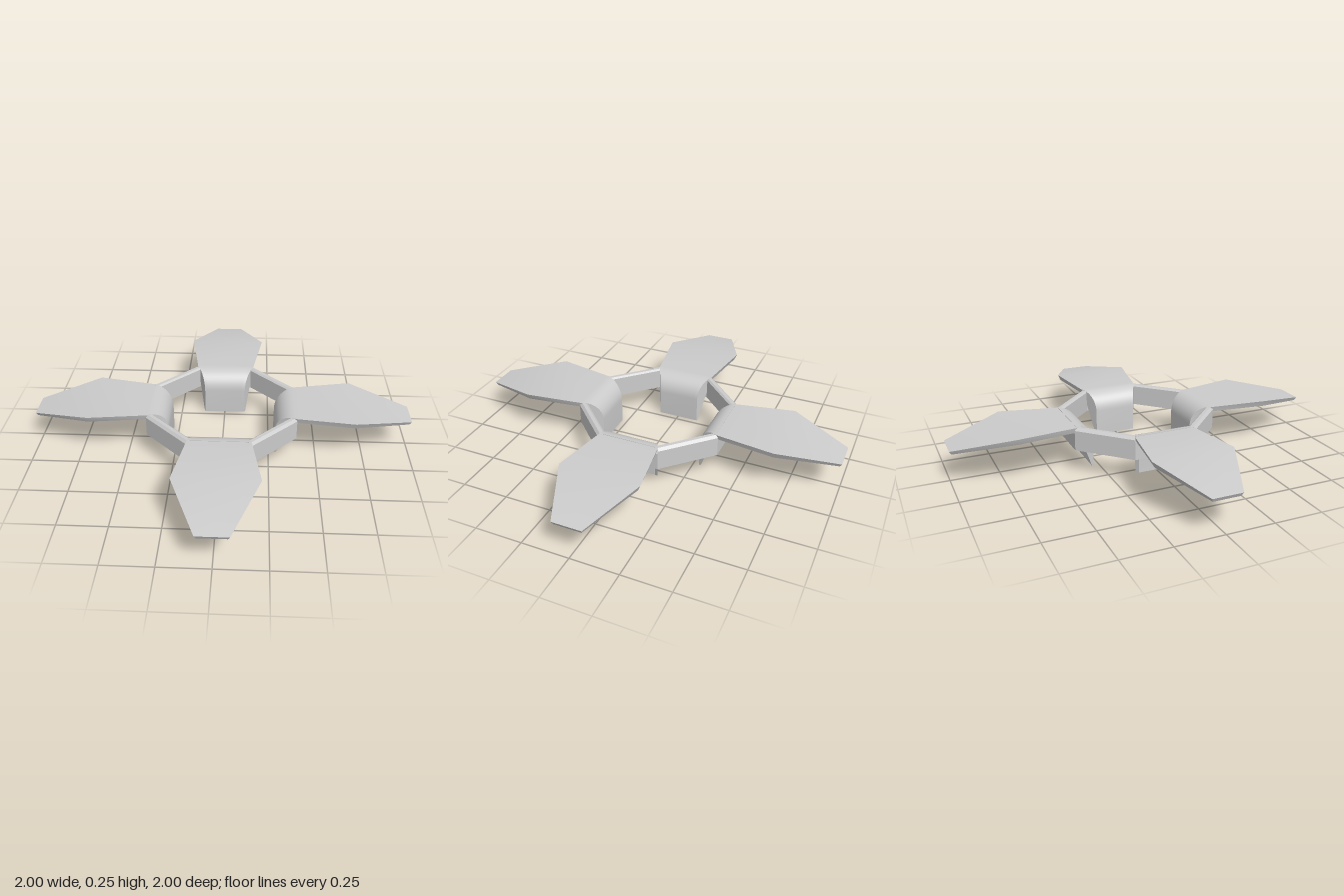
import * as THREE from 'three';
import { toCreasedNormals } from 'three/addons/utils/BufferGeometryUtils.js';

const material = new THREE.MeshStandardMaterial({ color: 0xcccccc, side: THREE.DoubleSide });

// Closed solid through cross-sections, each a loop of [x, y, z] points
function loft(name, sections) {
  const n = sections[0].length, last = (sections.length - 1) * n, index = [];
  for (let i = 0; i < last; i += n) {
    for (let j = 0; j < n; j++) {
      const a = i + j, b = i + (j + 1) % n;
      index.push(a, b, b + n, a, b + n, a + n);
    }
  }
  for (let j = 1; j < n - 1; j++) {
    index.push(0, j + 1, j, last, last + j, last + j + 1);
  }
  const geometry = new THREE.BufferGeometry();
  geometry.setAttribute('position', new THREE.Float32BufferAttribute(sections.flat(2), 3));
  geometry.setIndex(index);
  const mesh = new THREE.Mesh(toCreasedNormals(geometry, 0.5), material);
  mesh.name = name;
  return mesh;
}

// One side of the octagonal ring; profile points are [distance from centre, y]
function ringSide(name, profile) {
  const slope = Math.tan(Math.PI / 8);
  return loft(name, [-1, 1].map(s => profile.map(([r, y]) => [s * r * slope, y, r])));
}

// Flat petal with a drooping tip and a tapered rim
function petal() {
  const stations = [ // top z, top y, bottom z, bottom y, half width, rim inset
    [0.38, 0.243, 0.38, 0.215, 0.16, 0.008],
    [0.69, 0.25, 0.688, 0.218, 0.21, 0.014],
    [1, 0.187, 0.99, 0.168, 0.077, 0.008],
  ];
  return loft('petal', stations.map(([z, y, zb, yb, w, inset]) => [
    [w - inset, yb, zb], [w, y, z], [-w, y, z], [-w + inset, yb, zb],
  ]));
}

// Curve of the inner guide, from its foot up and over to the petal
const guideCurve = [{ z: 0.28, y: 0, a: 0 }];
for (let i = 0; i <= 10; i++) {
  const a = i / 10 * Math.PI / 2;
  guideCurve.push({ z: 0.38 - 0.1 * Math.cos(a), y: 0.14 + 0.105 * Math.sin(a), a });
}
const guideWidth = z => 0.1 + (z - 0.28) * 0.45;

function guidePlate() {
  return loft('guidePlate', guideCurve.map(({ z, y, a }) => {
    const w = guideWidth(z), zb = z + 0.009 * Math.cos(a), yb = y - 0.009 * Math.sin(a);
    return [[w, yb, zb], [w, y, z], [-w, y, z], [-w, yb, zb]];
  }));
}

// Splayed gusset bracing one edge of the guide
function gusset(side) {
  return loft('guideGusset', guideCurve.map(({ z, y }) => {
    const back = Math.max(z + 0.004, 0.29 + y * 0.375);
    const outer = side > 0 ? 0.014 : 0, inner = side > 0 ? 0 : -0.014;
    const front = side * guideWidth(z), rear = side * guideWidth(back);
    return [
      [rear + outer, y, back], [front + outer, y, z],
      [front + inner, y, z], [rear + inner, y, back],
    ];
  }));
}

export function createModel() {
  const model = new THREE.Group();
  model.name = 'petalRing';
  const openProfile = [[0.393, 0.125], [0.352, 0.125], [0.352, 0.235], [0.362, 0.243], [0.38, 0.243], [0.393, 0.23]];
  const coveredProfile = [[0.393, 0.125], [0.352, 0.125], [0.352, 0.216], [0.393, 0.216]];

  for (let i = 0; i < 4; i++) {
    const arm = new THREE.Group();
    arm.name = 'arm';
    arm.rotation.y = i * Math.PI / 2;
    const diagonal = ringSide('ringDiagonalSide', openProfile);
    diagonal.rotation.y = Math.PI / 4;
    arm.add(petal(), guidePlate(), gusset(1), gusset(-1), ringSide('ringSide', coveredProfile), diagonal);
    model.add(arm);
  }
  return model;
}
